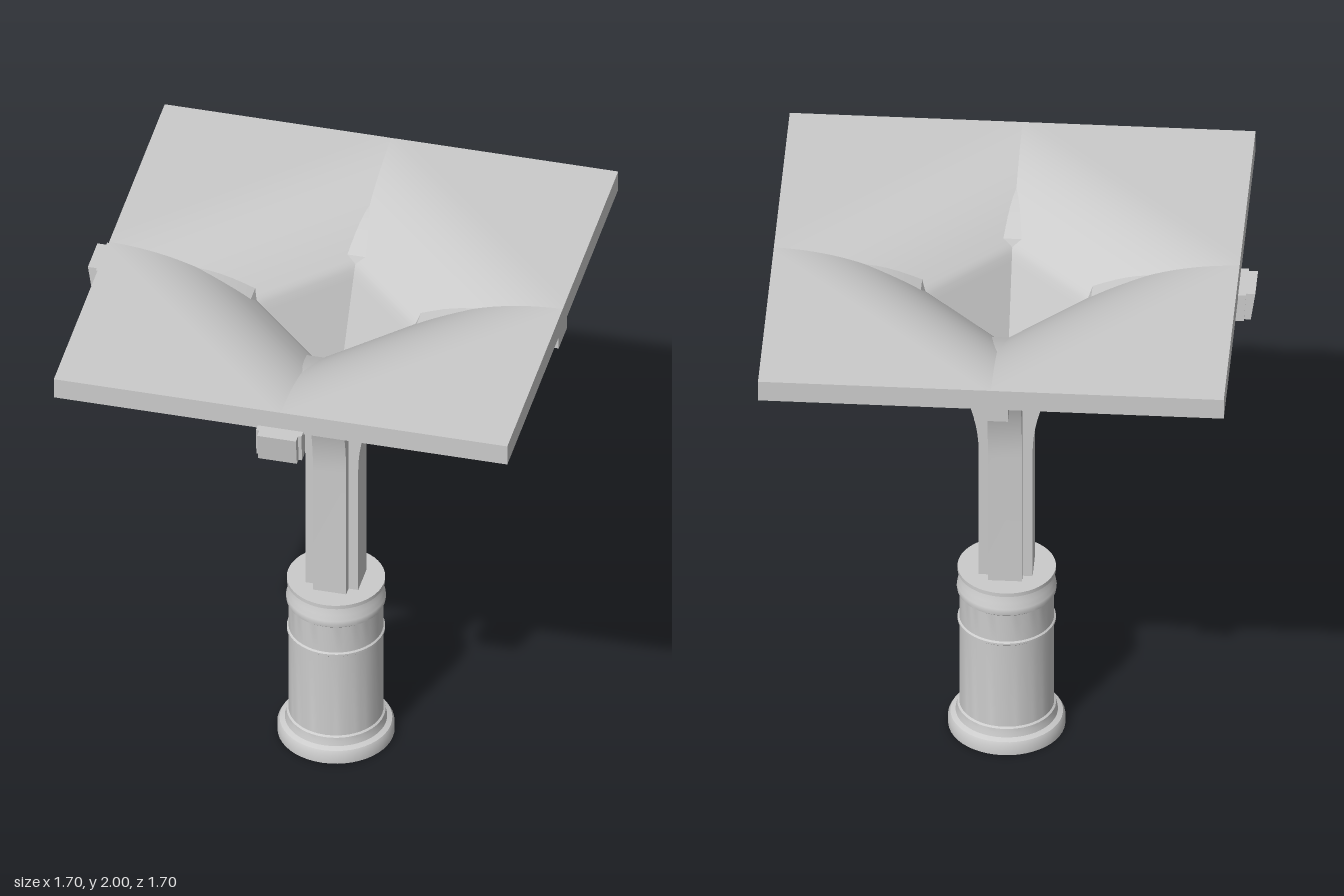
import * as THREE from 'three';
import { toCreasedNormals } from 'three/addons/utils/BufferGeometryUtils.js';

const HALF = 0.82;   // half side of the canopy
const SLAB = 0.08;   // shell thickness

// Underside of the folded canopy; u = |x| + |z|, so contours are diamonds.
function shell(u) {
  let t = 0;
  if (u > 0.28) t = Math.min(1, (-0.36 + Math.sqrt(0.1296 + 0.84 * (u - 0.28))) / 0.42);
  const slope = 0.56 * (1 - t) / (0.36 + 0.42 * t);
  const low = u < 0.28 ? 1.64 - (0.28 - u) * slope : 1.92 - 0.28 * (1 - t) ** 2;
  return { low, high: low + SLAB * Math.sqrt(1 + 2 * slope * slope) };
}

// One quadrant of the canopy's top or underside
function quadrantGeometry(side) {
  const g = new THREE.PlaneGeometry(HALF, HALF, 48, 48);
  g.rotateX(-Math.PI / 2).translate(HALF / 2, 0, HALF / 2);
  const p = g.attributes.position;
  for (let i = 0; i < p.count; i++) p.setY(i, shell(p.getX(i) + p.getZ(i))[side]);
  if (side === 'low') {
    const a = g.index.array;
    for (let i = 0; i < a.length; i += 3) [a[i], a[i + 1]] = [a[i + 1], a[i]];
  }
  g.computeVertexNormals();
  return g;
}

// Side profile (radius, height) extruded to a centred width
function extruded(points, width) {
  const shape = new THREE.Shape(points.map(([x, y]) => new THREE.Vector2(x, y)));
  const g = new THREE.ExtrudeGeometry(shape, { depth: width, bevelEnabled: false });
  g.translate(0, 0, -width / 2);
  return toCreasedNormals(g, 0.4);
}

// Column arm that sweeps outward into a rib
function ribGeometry() {
  const pts = [[0, 0.64], [0.095, 0.64]];
  for (let i = 0; i <= 28; i++) {
    const a = (i / 28) * Math.PI / 2;
    pts.push([HALF - 0.725 * Math.cos(a), 1.2 + 0.67 * Math.sin(a)]);
  }
  pts.push([HALF, 1.96]);
  // back of the rib, just breaking through the valley fold
  for (let r = 0.5; r > 0.27; r -= 0.04) {
    pts.push([r, shell(r).high + 0.022 * (0.5 - r) / 0.23]);
  }
  pts.push([0.24, shell(0.24).high - 0.03], [0, shell(0).high - 0.03]);
  return extruded(pts, 0.12);
}

// Tapered block profile, centred on the canopy edge
function wedgeGeometry(top, bottom, width) {
  return extruded([[HALF - bottom, 1.82], [HALF + bottom, 1.82],
    [HALF + top, 1.93], [HALF - top, 1.93]], width);
}

export function createModel() {
  const model = new THREE.Group();
  const material = new THREE.MeshStandardMaterial({ color: 0xcccccc });
  const body = new THREE.Group();
  body.name = 'mushroomColumn';
  body.position.set(0.03, 0, -0.03);
  model.add(body);

  const add = (name, geometry, turn = 0) => {
    const mesh = new THREE.Mesh(geometry, material);
    mesh.name = name;
    mesh.rotation.y = turn;
    body.add(mesh);
  };

  // Turned pedestal
  const profile = [
    [0, 0], [0.206, 0], [0.206, 0.035], [0.198, 0.05], [0.18, 0.058], [0.176, 0.075],
    [0.174, 0.09], [0.167, 0.095], [0.167, 0.443], [0.173, 0.448], [0.173, 0.456],
    [0.167, 0.461], [0.167, 0.572], [0.174, 0.578], [0.176, 0.59], [0.174, 0.602],
    [0.17, 0.61], [0.168, 0.625], [0.157, 0.645], [0.157, 0.655], [0.173, 0.657],
    [0.173, 0.672], [0, 0.672],
  ].map(([r, y]) => new THREE.Vector2(r, y));
  add('pedestal', toCreasedNormals(new THREE.LatheGeometry(profile, 48), 0.6));

  // Four-way canopy, ribs and edge faces
  const top = quadrantGeometry('high');
  const under = quadrantGeometry('low');
  const rib = ribGeometry();
  const edge = new THREE.PlaneGeometry(2 * HALF, SLAB).translate(0, 1.96, HALF);
  for (let i = 0; i < 4; i++) {
    const turn = i * Math.PI / 2;
    add('canopyTop', top, turn);
    add('canopyUnderside', under, turn);
    add('canopyEdge', edge, turn);
    add('columnRib', rib, turn);
  }

  // Keystones at the left-hand and front rib ends
  const core = wedgeGeometry(0.028, 0.02, 0.165);
  const block = wedgeGeometry(0.06, 0.044, 0.14);
  for (const turn of [Math.PI, -Math.PI / 2]) {
    add('keystoneCore', core, turn);
    add('keystoneBlock', block, turn);
  }
  return model;
}
